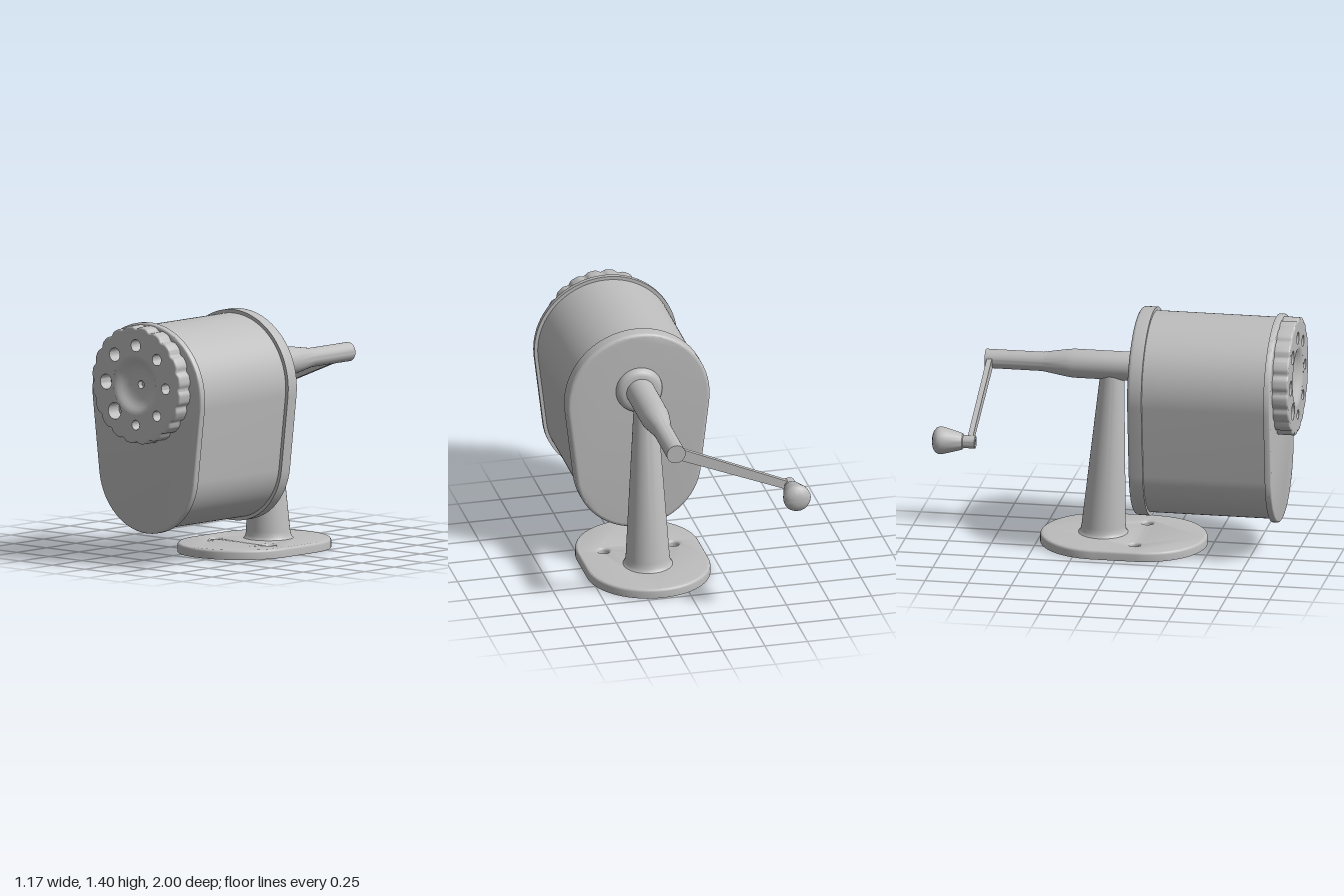
import * as THREE from 'three';
import { toCreasedNormals } from 'three/addons/utils/BufferGeometryUtils.js';

export function createModel() {
  const model = new THREE.Group();
  model.name = 'pencilSharpener';
  const grey = new THREE.MeshStandardMaterial({ color: 0xbdbdbd });
  grey.name = 'grey metal';
  const CX = 0.163; // body axis
  const DIAL_Y = 1.05;

  function add(name, geometry, x, y, z) {
    const mesh = new THREE.Mesh(toCreasedNormals(geometry, 0.62), grey);
    mesh.name = name;
    mesh.position.set(x, y, z);
    model.add(mesh);
    return mesh;
  }

  // Plate from z = 0 to thickness, rounded only on its high-z edge
  function slab(shape, thickness, bevel, curveSegments = 32) {
    const g = new THREE.ExtrudeGeometry(shape, {
      depth: thickness - bevel, bevelEnabled: bevel > 0, bevelThickness: bevel,
      bevelSize: bevel, bevelOffset: -bevel, bevelSegments: 4, curveSegments,
    });
    const p = g.attributes.position;
    for (let i = 0; i < p.count; i++) p.setZ(i, Math.max(0, p.getZ(i)));
    return g;
  }

  // Solid of revolution about z, profile points are [radius, z] with z rising
  function turned(profile, segments = 48) {
    const g = new THREE.LatheGeometry(profile.map(([r, z]) => new THREE.Vector2(r, z)), segments);
    return g.rotateX(Math.PI / 2);
  }

  function circle(x, y, r, Type = THREE.Path) {
    const c = new Type();
    c.absarc(x, y, r, 0, Math.PI * 2, false);
    return c;
  }

  // Egg-like housing outline: large arc on top, smaller arc below
  function housing(inset) {
    const top = 0.98, bottom = 0.555, r1 = 0.42, r2 = 0.37;
    const a = Math.asin((r1 - r2) / (top - bottom));
    const s = new THREE.Shape();
    s.absarc(0, top, r1 - inset, -a, Math.PI + a, false);
    s.absarc(0, bottom, r2 - inset, Math.PI + a, Math.PI * 2 - a, false);
    s.closePath();
    return s;
  }

  // Housing: shell with a cap at each end
  add('housingShell', slab(housing(0.02), 0.75, 0), CX, 0, 0.14);
  add('frontCap', slab(housing(0), 0.037, 0.012), CX, 0, 0.873);
  add('backCap', slab(housing(0), 0.085, 0.02).rotateY(Math.PI), CX, 0, 0.165);

  // Dial rim with a scalloped edge
  const rim = new THREE.Shape();
  const STEPS = 240;
  for (let i = 0; i < STEPS; i++) {
    const t = (i / STEPS) * Math.PI * 2;
    const notch = Math.pow(0.5 + 0.5 * Math.cos(20 * t), 3);
    const r = 0.34 - 0.014 * notch;
    if (i) rim.lineTo(r * Math.cos(t), r * Math.sin(t));
    else rim.moveTo(r, 0);
  }
  rim.closePath();
  rim.holes.push(circle(0, 0, 0.295));
  add('dialRim', slab(rim, 0.09, 0.01), CX, DIAL_Y, 0.91);

  // Dial face with eight graded pencil holes
  const face = circle(0, 0, 0.312, THREE.Shape);
  face.holes.push(circle(0, 0, 0.172));
  [0.031, 0.033, 0.035, 0.039, 0.043, 0.048, 0.028, 0.03].forEach((r, i) => {
    const t = (i * Math.PI) / 4;
    face.holes.push(circle(0.229 * Math.cos(t), 0.229 * Math.sin(t), r));
  });
  add('dialFace', slab(face, 0.09, 0), CX, DIAL_Y, 0.91);

  // Dished centre and its small hole
  add('dialDish', turned([
    [0.173, 1], [0.162, 0.998], [0.147, 0.991], [0.13, 0.978], [0.11, 0.966],
    [0.085, 0.958], [0.055, 0.954], [0.023, 0.953], [0.023, 0.92], [0, 0.92],
  ], 64), CX, DIAL_Y, 0);

  // Base plate with two screw holes
  const base = new THREE.Shape();
  base.absarc(0, 0.133, 0.357, 0, Math.PI, false);
  base.absarc(0, -0.113, 0.357, Math.PI, Math.PI * 2, false);
  base.closePath();
  for (const x of [-0.205, 0.205]) base.holes.push(circle(x, -0.09, 0.031));
  add('basePlate', slab(base, 0.055, 0.016).rotateX(-Math.PI / 2), CX, 0, 0);

  // Column: round, tapering, with an upright front edge
  const column = new THREE.LatheGeometry([
    [0.15, 0.05], [0.138, 0.058], [0.13, 0.075], [0.126, 0.1],
    [0.07, 0.985], [0.064, 1.01], [0, 1.02],
  ].map(([r, y]) => new THREE.Vector2(r, y)), 48);
  const cp = column.attributes.position;
  for (let i = 0; i < cp.count; i++) {
    cp.setZ(i, cp.getZ(i) - 0.133 + 0.055 * cp.getY(i));
  }
  add('column', column, CX, 0, 0);

  // Crank shaft and its collar
  const SHAFT_Y = 1.055;
  add('crankShaft', turned([
    [0, -0.81], [0.055, -0.81], [0.055, -0.48], [0.06, -0.45],
    [0.078, -0.34], [0.083, -0.3], [0.083, 0.06],
  ]), CX, SHAFT_Y, 0);
  add('shaftCollar', turned([
    [0.07, 0.037], [0.1, 0.039], [0.12, 0.047], [0.132, 0.06], [0.136, 0.075], [0.136, 0.09],
  ]), CX, SHAFT_Y, 0);

  // Crank arm, slightly narrower toward the knob
  const KX = -0.512, KY = 0.77;
  const dx = KX - CX, dy = KY - SHAFT_Y, length = Math.hypot(dx, dy);
  const arm = new THREE.Shape();
  arm.moveTo(0, -0.034);
  arm.lineTo(length, -0.024);
  arm.lineTo(length, 0.024);
  arm.lineTo(0, 0.034);
  arm.closePath();
  add('crankArm', slab(arm, 0.03, 0), CX, SHAFT_Y, -0.797).rotation.z = Math.atan2(dy, dx);

  // Pivot with a bored end, and the turned knob
  add('knobPivot', turned([
    [0.037, -0.84], [0.037, -0.752], [0.034, -0.749], [0.016, -0.749], [0.016, -0.765], [0, -0.765],
  ], 32), KX, KY, 0);
  add('knob', turned([
    [0, -1], [0.03, -0.998], [0.055, -0.99], [0.072, -0.976], [0.079, -0.96], [0.078, -0.94],
    [0.072, -0.915], [0.05, -0.835], [0.046, -0.824], [0.04, -0.82], [0, -0.82],
  ], 40), KX, KY, 0);

  return model;
}
